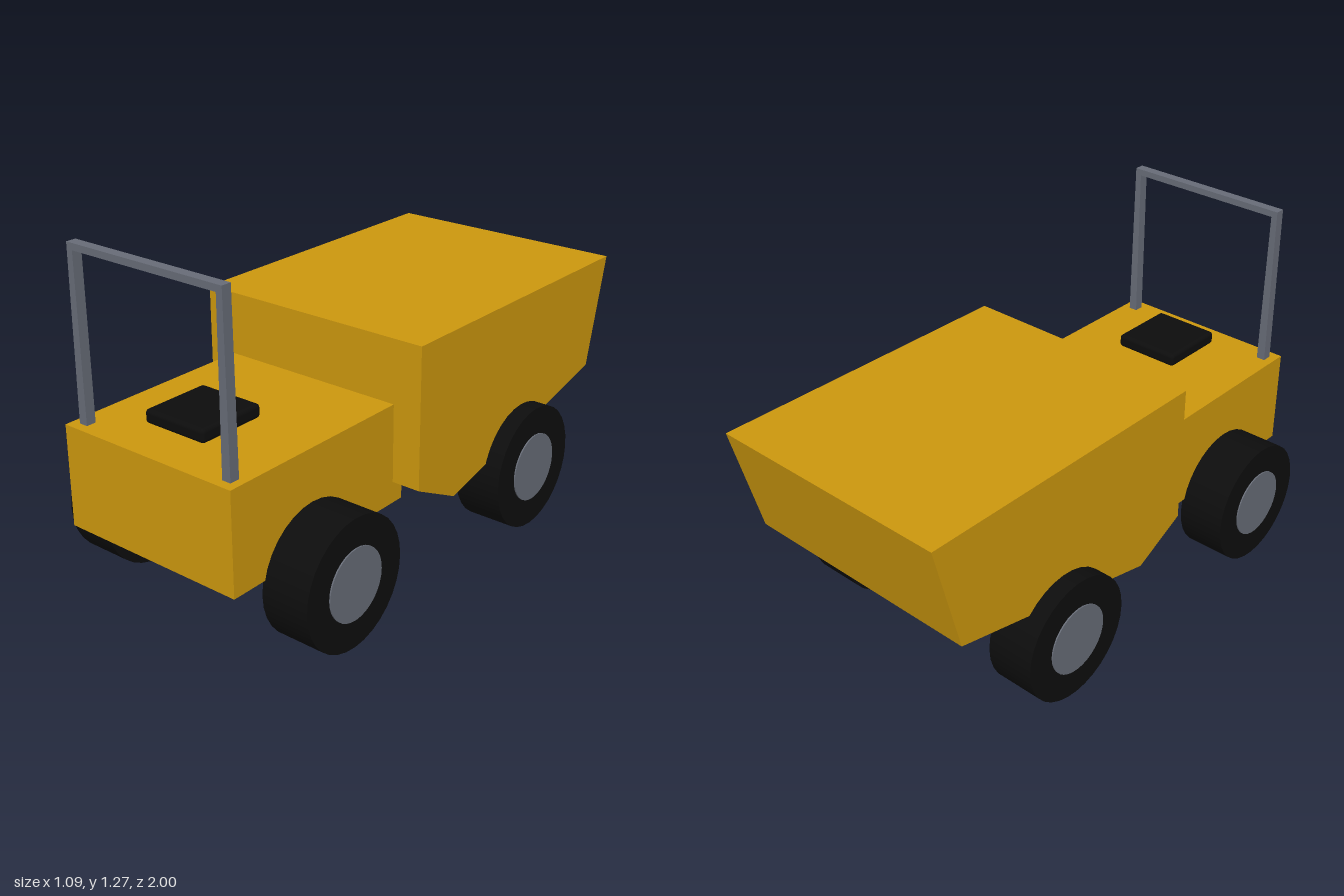
import * as THREE from 'three';
import { RoundedBoxGeometry } from 'three/addons/geometries/RoundedBoxGeometry.js';

const material = (name, color) => new THREE.MeshStandardMaterial({ name, color });

export function createModel() {
  const yellow = material('yellow paint', 0xcc970e);
  const grey = material('grey metal', 0x676c77);
  const black = material('black rubber', 0x0d0d0d);
  const model = new THREE.Group();
  model.name = 'dumper';

  const add = (name, geometry, mat, x = 0, y = 0, z = 0, parent = model) => {
    const mesh = new THREE.Mesh(geometry, mat);
    mesh.name = name;
    mesh.position.set(x, y, z);
    parent.add(mesh);
    return mesh;
  };
  const polygon = (points) => points.map(([a, b]) => new THREE.Vector2(a, b));

  // Cab chassis
  add('chassis', new THREE.BoxGeometry(0.73, 0.37, 0.84), yellow, 0, 0.475, 0.58);

  // Skip: side profile as (-z, y), extruded across the width
  const skipProfile = new THREE.Shape(polygon([
    [-0.21, 0.37], [0, 0.265], [0.895, 0.475], [1, 0.895], [-0.21, 0.895],
  ]));
  const skip = new THREE.ExtrudeGeometry(skipProfile, { depth: 0.95, bevelEnabled: false });
  skip.translate(0, 0, -0.475).rotateY(Math.PI / 2);
  add('skip', skip, yellow);

  // Seat pad
  add('seat', new RoundedBoxGeometry(0.26, 0.05, 0.265, 3, 0.014), black, 0, 0.711, 0.738);

  // Roll bar: slightly tapered posts joined by a crossbar
  const hoop = new THREE.Shape(polygon([
    [-0.334, 0.65], [-0.3, 0.65], [-0.304, 1.251], [0.304, 1.251],
    [0.3, 0.65], [0.334, 0.65], [0.328, 1.275], [-0.328, 1.275],
  ]));
  add('rollBar', new THREE.ExtrudeGeometry(hoop, { depth: 0.037, bevelEnabled: false }), grey, 0, 0, 0.929);

  // Wheels: tyre with a hub showing on both faces
  const tyre = new THREE.CylinderGeometry(0.235, 0.235, 0.182, 32).rotateZ(Math.PI / 2);
  const hub = new THREE.CylinderGeometry(0.13, 0.13, 0.192, 32).rotateZ(Math.PI / 2);
  for (const [end, z] of [['front', 0.633], ['rear', -0.422]]) {
    for (const [side, x] of [['Left', 0.449], ['Right', -0.449]]) {
      const wheel = new THREE.Group();
      wheel.name = `${end}${side}Wheel`;
      wheel.position.set(x, 0.236, z);
      add('tyre', tyre, black, 0, 0, 0, wheel);
      add('hub', hub, grey, 0, 0, 0, wheel);
      model.add(wheel);
    }
  }
  return model;
}
